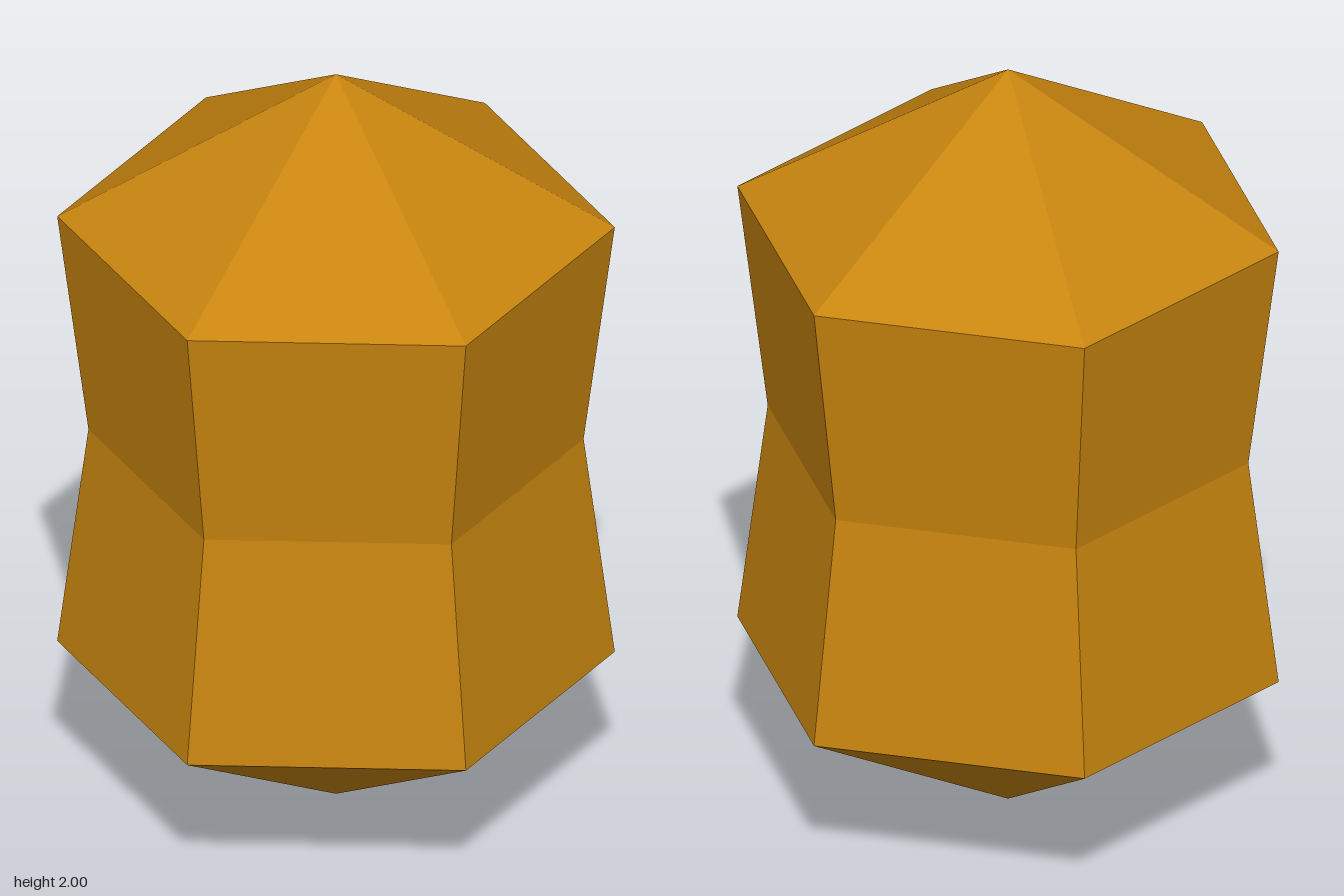
import * as THREE from 'three';

const SIDES = 6;

export function createModel() {
  const group = new THREE.Group();
  group.name = 'hexagonalCrystal';

  const amber = new THREE.MeshStandardMaterial({ color: 0xc8850f, flatShading: true });
  amber.name = 'amber';

  // One open six-sided band between two heights, with a corner facing the front
  function band(name, y0, r0, y1, r1) {
    const geometry = new THREE.CylinderGeometry(r1, r0, y1 - y0, SIDES, 1, true).toNonIndexed();
    geometry.computeVertexNormals();
    const mesh = new THREE.Mesh(geometry, amber);
    mesh.name = name;
    mesh.position.y = (y0 + y1) / 2;
    group.add(mesh);
  }

  // Pointed ends and a body pinched at the waist
  band('bottomPoint', 0, 0, 0.41, 0.67);
  band('lowerBody', 0.41, 0.67, 1, 0.595);
  band('upperBody', 1, 0.595, 1.59, 0.67);
  band('topPoint', 1.59, 0.67, 2, 0);

  return group;
}
